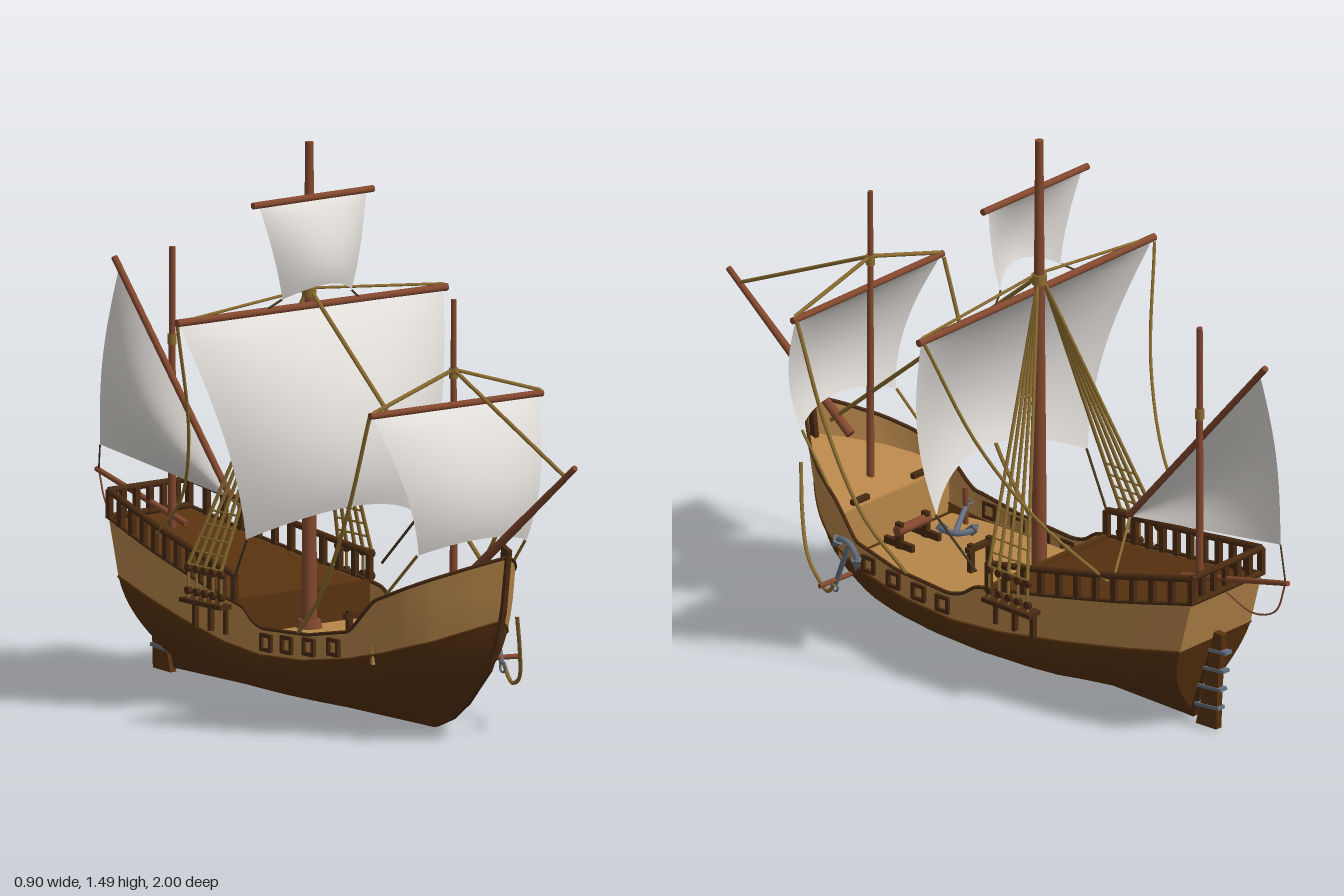
import * as THREE from 'three';
import { ParametricGeometry } from 'three/addons/geometries/ParametricGeometry.js';

const V = (x, y, z) => new THREE.Vector3(x, y, z);
const lerp = THREE.MathUtils.lerp;

// piecewise linear lookup in a short list of [key, value] pairs
const table = pts => k => {
  let i = 1;
  while (i < pts.length - 1 && k > pts[i][0]) i++;
  const [a, b] = [pts[i - 1], pts[i]];
  return lerp(a[1], b[1], Math.min(1, Math.max(0, (k - a[0]) / (b[0] - a[0]))));
};
// hull lines: t runs from stern (0) to bow (1)
const width = table([[0, .135], [.1, .162], [.22, .19], [.39, .225], [.52, .237], [.66, .236], [.75, .227], [.82, .208], [.87, .178], [.91, .14], [.96, .072], [1, .004]]);
const sheer = table([[0, .41], [.15, .36], [.3, .32], [.453, .285], [.49, .25], [.52, .24], [.655, .25], [.762, .28], [.81, .37], [.9, .435], [1, .505]]);
const wale = table([[0, .26], [.12, .228], [.25, .2], [.4, .177], [.52, .167], [.65, .177], [.77, .205], [.85, .235], [.925, .275], [1, .33]]);
const bowZ = table([[.02, .41], [.05, .48], [.1, .545], [.2, .635], [.28, .672], [.365, .695], [.525, .717]]);
const sternZ = table([[.02, -.65], [.26, -.735], [.41, -.775]]);
const zAt = (t, y) => lerp(sternZ(y), bowZ(y), t);
const edge = (s, t, y) => V(s * width(t), y, zAt(t, y));

export function createModel() {
  const ship = new THREE.Group();
  ship.name = 'sailingShip';
  const mat = (name, color, side = THREE.FrontSide) => {
    const m = new THREE.MeshStandardMaterial({ color, side });
    m.name = name;
    return m;
  };
  const darkHull = mat('darkHullWood', 0x58320f, THREE.DoubleSide);
  const tan = mat('tanPlanking', 0xb7864a, THREE.DoubleSide);
  const trim = mat('darkTrim', 0x4a2b12);
  const spar = mat('redSparWood', 0x83482e);
  const cloth = mat('sailCloth', 0xe0dcd8, THREE.DoubleSide);
  const ropeM = mat('goldenRope', 0x8c6d30);
  const lineM = mat('darkLine', 0x4a3a24);
  const iron = mat('greyIron', 0x667080);

  const add = (name, geo, m, parent = ship) => {
    const mesh = new THREE.Mesh(geo, m);
    mesh.name = name;
    parent.add(mesh);
    return mesh;
  };
  const surface = (name, f, nu, nv, m) => {
    const g = new ParametricGeometry((u, v, p) => p.copy(f(u, v)), nu, nv);
    g.computeVertexNormals();
    return add(name, g, m);
  };
  const box = (name, w, h, d, x, y, z, m, parent) => {
    const b = add(name, new THREE.BoxGeometry(w, h, d), m, parent);
    b.position.set(x, y, z);
    return b;
  };
  const rod = (name, a, b, ra, rb, m, parent, sides = 10) => {
    const d = b.clone().sub(a);
    const r = add(name, new THREE.CylinderGeometry(rb, ra, d.length(), sides), m, parent);
    r.position.copy(a).addScaledVector(d, .5);
    r.quaternion.setFromUnitVectors(V(0, 1, 0), d.normalize());
    return r;
  };
  const rope = (name, pts, r, m, n = 16) =>
    add(name, new THREE.TubeGeometry(new THREE.CatmullRomCurve3(pts), n, r, 6), m);
  const along = (f, t0, t1, n) => Array.from({ length: n + 1 }, (_, i) => f(lerp(t0, t1, i / n)));
  const slab = (name, pts, depth, m) => { // outline in (z, y), thickness in x
    const g = new THREE.ExtrudeGeometry(new THREE.Shape(pts.map(p => new THREE.Vector2(...p))), { depth, bevelEnabled: false });
    g.translate(0, 0, -depth / 2).rotateY(-Math.PI / 2);
    return add(name, g, m);
  };

  // hull below the wale, with a much finer run towards the stern
  const lower = (t, a) => {
    const y = .025 + (wale(t) - .025) * (1 - Math.cos(a));
    const x = Math.sign(a) * width(t) * Math.abs(Math.sin(a)) ** (1 + 1.3 * Math.max(0, 1 - t * 3));
    return V(x, y, zAt(t, y));
  };
  surface('lowerHull', (u, v) => lower(u, (v - .5) * Math.PI), 60, 28, darkHull);
  surface('lowerTransom', (u, v) => { const p = lower(0, v * Math.PI / 2); p.x *= 2 * u - 1; return p; }, 4, 12, darkHull);
  surface('upperTransom', (u, v) => edge(2 * u - 1, 0, lerp(wale(0), sheer(0), v)), 4, 2, tan);
  for (const s of [1, -1]) {
    surface('topside', (u, v) => edge(s, u, lerp(wale(u), sheer(u), v)), 80, 4, tan);
    rope('waleStrake', along(t => edge(s, t, wale(t)), 0, 1, 40), .004, darkHull, 90);
    rope('capRail', along(t => edge(s, t, sheer(t)), 0, 1, 70), .005, trim, 140);
  }
  // keel, stem and rudder
  const stemY = [.02, .05, .1, .2, .28, .365, .53];
  slab('keelAndStem', [[-.66, .014], ...stemY.map(y => [bowZ(y) + .008, y - .006]),
    ...stemY.slice().reverse().map(y => [bowZ(y) - .02, y + .006]), [-.65, .04]], .014, trim);
  slab('sternPost', [[-.665, .014], [-.64, .014], [-.715, .27], [-.745, .27]], .016, trim);
  slab('rudder', [[-.675, 0], [-.748, .003], [-.752, .12], [-.768, .275], [-.732, .28], [-.715, .15]], .02, darkHull);
  for (let i = 0; i < 4; i++) {
    const y = .06 + i * .055;
    box('rudderStrap', .026, .009, .085, 0, y, -.705 - y * .16, iron).rotation.x = .1;
  }

  // decks and bulkheads
  const deck = (name, t0, t1, h, m) => surface(name, (u, v) => {
    const t = lerp(t0, t1, u);
    return edge((2 * v - 1) * .985, t, h(t));
  }, 24, 2, m);
  const QD = .425, FD = .81;
  const foreY = t => lerp(.325, .4, (t - FD) / (1 - FD));
  deck('mainDeck', QD - .01, FD + .01, () => .2, tan);
  deck('quarterDeck', 0, QD, t => sheer(t) - .006, darkHull);
  deck('foreDeck', FD, 1, foreY, tan);
  box('quarterDeckBulkhead', width(QD) * 1.96, .09, .008, 0, .243, zAt(QD, .28), darkHull);
  box('foreDeckBulkhead', width(FD) * 1.96, .125, .008, 0, .263, zAt(FD, .3), tan);
  box('quarterDeckBeam', width(QD) * 1.96, .012, .014, 0, sheer(QD), zAt(QD, .29), darkHull);

  // railing round the quarter deck
  const railTop = t => sheer(t) + .072;
  for (const s of [1, -1]) {
    rope('railTop', along(t => edge(s, t, sheer(t)).setY(railTop(t)), 0, QD, 16), .009, trim, 40);
    for (let i = 0; i <= 11; i++) {
      const t = QD * i / 11, p = edge(s * .985, t, sheer(t));
      box('railPost', .014, .075, .017, p.x, p.y + .035, p.z, trim);
    }
  }
  for (const h of [.072, .002]) rod('sternRail', V(-.135, sheer(0) + h, -.775), V(.135, sheer(0) + h, -.775), .009, .009, trim);
  for (let i = 1; i < 6; i++) box('sternRailPost', .015, .07, .014, -.135 + i * .045, .445, -.772, trim);

  // square port frames
  for (const s of [1, -1]) for (const [z, y] of [[.28, .231], [.185, .219], [.095, .211], [.01, .205]]) {
    const g = new THREE.Group();
    g.name = 'portFrame';
    for (const k of [1, -1]) {
      box('portSide', .012, .045, .01, 0, 0, k * .019, trim, g);
      box('portSill', .012, .01, .045, 0, k * .019, 0, trim, g);
    }
    g.position.set(s * (width((z + .735) / 1.4) + .002), y, z);
    ship.add(g);
  }

  // masts and spars
  const spars = [
    ['mainMast', V(0, .19, -.11), V(0, 1.485, -.11), .021, .011],
    ['foreMast', V(0, .3, .49), V(0, 1.155, .49), .011, .007],
    ['mizzenMast', V(0, .36, -.68), V(0, 1.125, -.68), .011, .008],
    ['bowsprit', V(0, .44, .56), V(0, .782, .995), .013, .008],
    ['sternBoom', V(0, .4, -.62), V(0, .492, -.995), .009, .007],
    ['mainYard', V(-.45, 1.058, -.1), V(.45, 1.05, -.1), .01, .01],
    ['foreYard', V(-.287, .88, .5), V(.287, .876, .5), .009, .009],
    ['topYard', V(-.2, 1.34, -.095), V(.2, 1.34, -.095), .009, .009],
    ['lateenYard', V(-.02, .5, -.41), V(-.02, 1.068, -.895), .009, .009],
  ];
  for (const [n, a, b, ra, rb] of spars) rod(n, a, b, ra, rb, spar, ship, 14);
  for (const [y, z, r] of [[1.09, -.11, .02], [.96, .49, .012], [.88, -.68, .012]])
    rod('mastLashing', V(0, y - .014, z), V(0, y + .014, z), r, r, ropeM);
  rod('mainMastCollar', V(0, .198, -.11), V(0, .222, -.11), .036, .03, spar);

  // square sails: bellied forward, narrower and arched at the foot
  const sail = (name, y0, y1, w0, w1, z0, side, mid, arch) => surface(name, (a, v) => {
    const u = 2 * a - 1, c = 1 - u * u, k = Math.sin(2.1 * v);
    return V(u * lerp(w0, w1, v), lerp(y0, y1, v) + arch * v * v * c,
      z0 + lerp(side * k, mid * Math.max(0, k) ** .7, c));
  }, 24, 20, cloth);
  sail('mainSail', 1.05, .48, .44, .288, -.1, .1, .205, .07);
  sail('foreSail', .872, .51, .275, .18, .5, .08, .125, .03);
  sail('topSail', 1.335, 1.085, .178, .115, -.095, .02, .07, .035);
  // lateen sail
  const [A, B, C] = [V(-.02, .5, -.415), V(-.02, 1.045, -.875), V(-.04, .57, -.93)];
  surface('lateenSail', (s, r) => {
    const p = B.clone().lerp(C, r).sub(A).multiplyScalar(s).add(A);
    p.x -= .05 * Math.sin(Math.PI * r) * Math.sin(Math.PI * s * .85);
    return p;
  }, 16, 16, cloth);

  // standing rigging on the centre line, and the lateen lines
  rope('mainStay', [V(0, 1.09, -.1), V(0, .46, .63)], .006, ropeM, 2);
  rope('foreStay', [V(0, .97, .49), V(0, .752, .955)], .0055, ropeM, 2);
  rope('boomLine', [V(0, .4, -.775), V(0, .37, -.87), V(0, .4, -.95), V(0, .49, -.985)], .0025, spar);
  rope('lateenSheet', [C, V(0, .49, -.985)], .0025, lineM, 2);
  rope('lateenTack', [A, V(.175, .4, -.53)], .004, ropeM, 2);

  // paired rigging
  for (const s of [1, -1]) {
    rope('mainLift', [V(0, 1.1, -.1), V(s * .44, 1.06, -.1)], .004, ropeM, 2);
    rope('foreLift', [V(0, .97, .49), V(s * .28, .885, .5)], .0055, ropeM, 2);
    rope('mainBrace', [V(s * .44, 1.05, -.11), V(s * .33, .75, -.2), V(s * .24, .54, -.34), V(s * .178, .41, -.52)], .0045, ropeM);
    rope('foreBrace', [V(s * .28, .875, .49), V(s * .275, .6, .39), V(s * .262, .38, .27), V(s * .237, .25, .14)], .0055, ropeM);
    rope('mainSheet', [V(s * .288, .48, -.01), V(s * .25, .34, -.12)], .0035, lineM, 2);
    rope('foreSheet', [V(s * .18, .51, .565), V(s * .2, .375, .44)], .004, ropeM, 2);
    rope('topSheet', [V(s * .115, 1.085, -.08), V(s * .16, 1.055, -.1)], .003, lineM, 2);
    // shrouds, ratlines, blocks and the channel that carries them
    const top = V(s * .012, 1.08, -.115);
    const foot = i => V(s * .25, .37, -.165 - i * .034);
    for (let i = 0; i < 5; i++) {
      const f = foot(i);
      rope('shroud', [top, f], .005, ropeM, 2);
      rope('lanyard', [f, V(f.x, .28, f.z)], .004, ropeM, 2);
      for (const y of [.36, .3]) rod('deadeye', V(f.x - .006, y, f.z), V(f.x + .006, y, f.z), .011, .011, trim);
    }
    for (let k = 0; k < 5; k++)
      rope('ratline', [foot(0).lerp(top, k * .05), foot(4).lerp(top, k * .05)], .003, ropeM, 2);
    box('channel', .045, .012, .17, s * .243, .275, -.235, trim);
    for (const z of [-.17, -.235, -.3]) box('channelBrace', .014, .08, .012, s * .227, .24, z, trim);
  }

  // anchors
  const anchor = (ring, crown, stockDir) => {
    const g = new THREE.Group(), L = ring.distanceTo(crown);
    g.name = 'anchor';
    rod('anchorShank', V(0, 0, 0), V(0, L, 0), .008, .007, iron, g);
    const arms = add('anchorArms', new THREE.TorusGeometry(.048, .008, 6, 16, Math.PI * .8), iron, g);
    arms.rotation.z = Math.PI * 1.1;
    arms.position.y = .048;
    for (const k of [1, -1]) {
      const fluke = add('anchorFluke', new THREE.ConeGeometry(.018, .04, 4), iron, g);
      fluke.position.set(k * .045, .04, 0);
      fluke.rotation.z = -k * .3;
    }
    add('anchorRing', new THREE.TorusGeometry(.013, .003, 6, 14), iron, g).position.y = L + .012;
    rod('anchorStock', V(0, L - .015, -.06), V(0, L - .015, .06), .007, .007, spar, g);
    const y = ring.clone().sub(crown).normalize(), x = y.clone().cross(stockDir).normalize();
    g.quaternion.setFromRotationMatrix(new THREE.Matrix4().makeBasis(x, y, x.clone().cross(y)));
    g.position.copy(crown);
    ship.add(g);
  };
  anchor(V(.245, .15, .385), V(.258, .285, .325), V(1, 0, .1));
  anchor(V(-.19, .25, .325), V(-.06, .235, .245), V(0, 1, 0));
  rope('anchorCable', [V(.055, .34, .685), V(.1, .24, .64), V(.16, .15, .565), V(.205, .115, .48), V(.245, .12, .41), V(.25, .15, .385)], .0055, ropeM, 30);

  // deck fittings: windlass, bitts and cleats
  for (const s of [1, -1]) {
    box('windlassPost', .014, .075, .02, s * .05, .235, .34, trim);
    box('windlassBrace', .012, .02, .1, s * .05, .212, .34, trim);
    box('cleatRack', .06, .014, .014, s * .115, .335, .42, trim);
    box('mastBitt', .014, .08, .014, s * .035, .24, .1, trim);
  }
  rod('windlassDrum', V(-.06, .25, .34), V(.06, .25, .34), .014, .014, spar);
  box('bittBar', .1, .014, .016, 0, .265, .1, trim);
  return ship;
}
